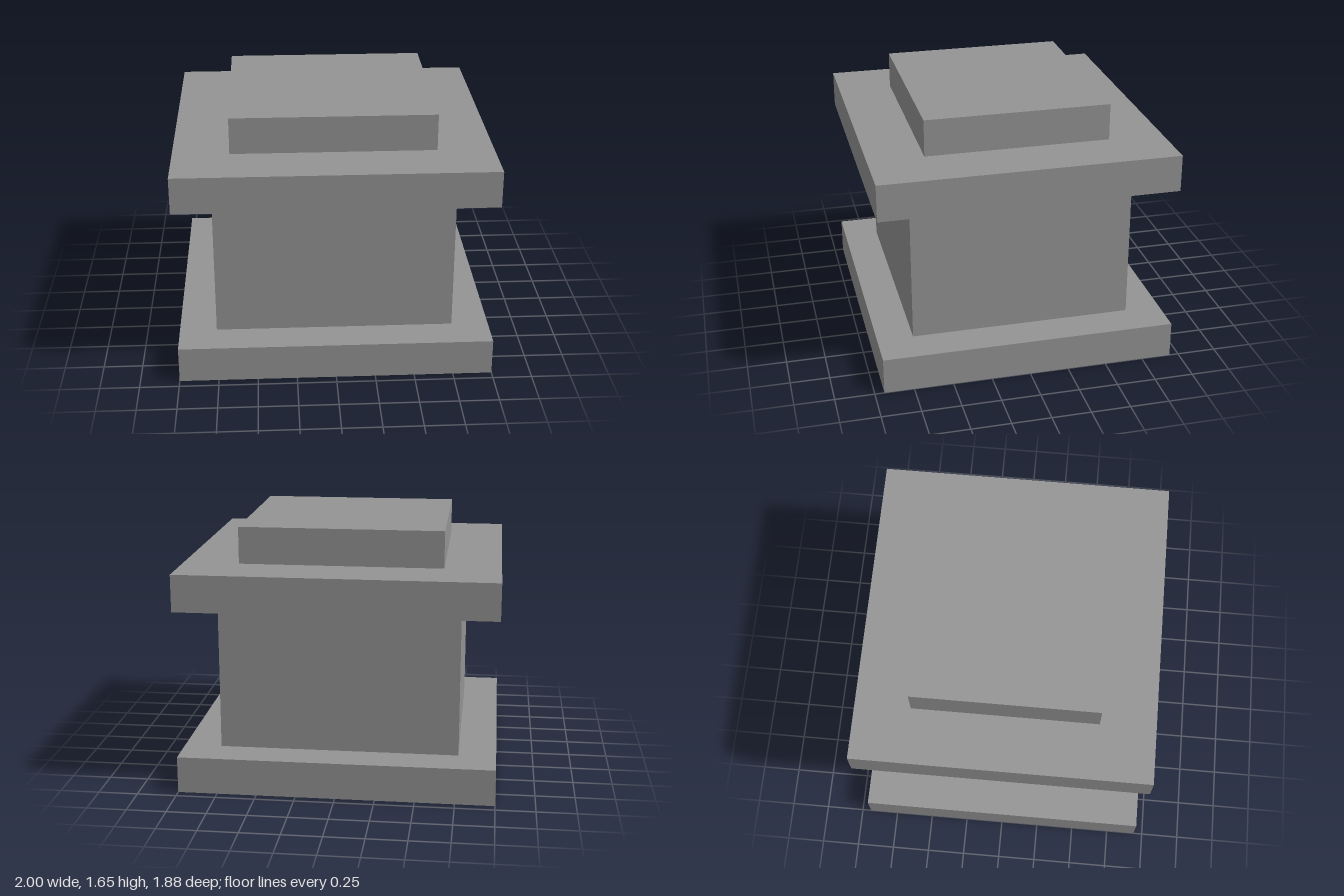
import * as THREE from 'three';

export function createModel() {
  const group = new THREE.Group();
  group.name = 'pedestal';
  const stone = new THREE.MeshStandardMaterial({ color: 0x949494 });
  stone.name = 'grey stone';

  // Stacked blocks: name, width, depth, bottom, top
  const blocks = [
    ['basePlinth', 2, 1.88, 0, 0.235],
    ['shaft', 1.525, 1.42, 0.235, 1.18],
    ['capSlab', 2, 1.88, 1.18, 1.415],
    ['topBlock', 1.29, 1.175, 1.415, 1.65],
  ];
  for (const [name, width, depth, bottom, top] of blocks) {
    const block = new THREE.Mesh(new THREE.BoxGeometry(width, top - bottom, depth), stone);
    block.name = name;
    block.position.y = (bottom + top) / 2;
    group.add(block);
  }
  return group;
}
